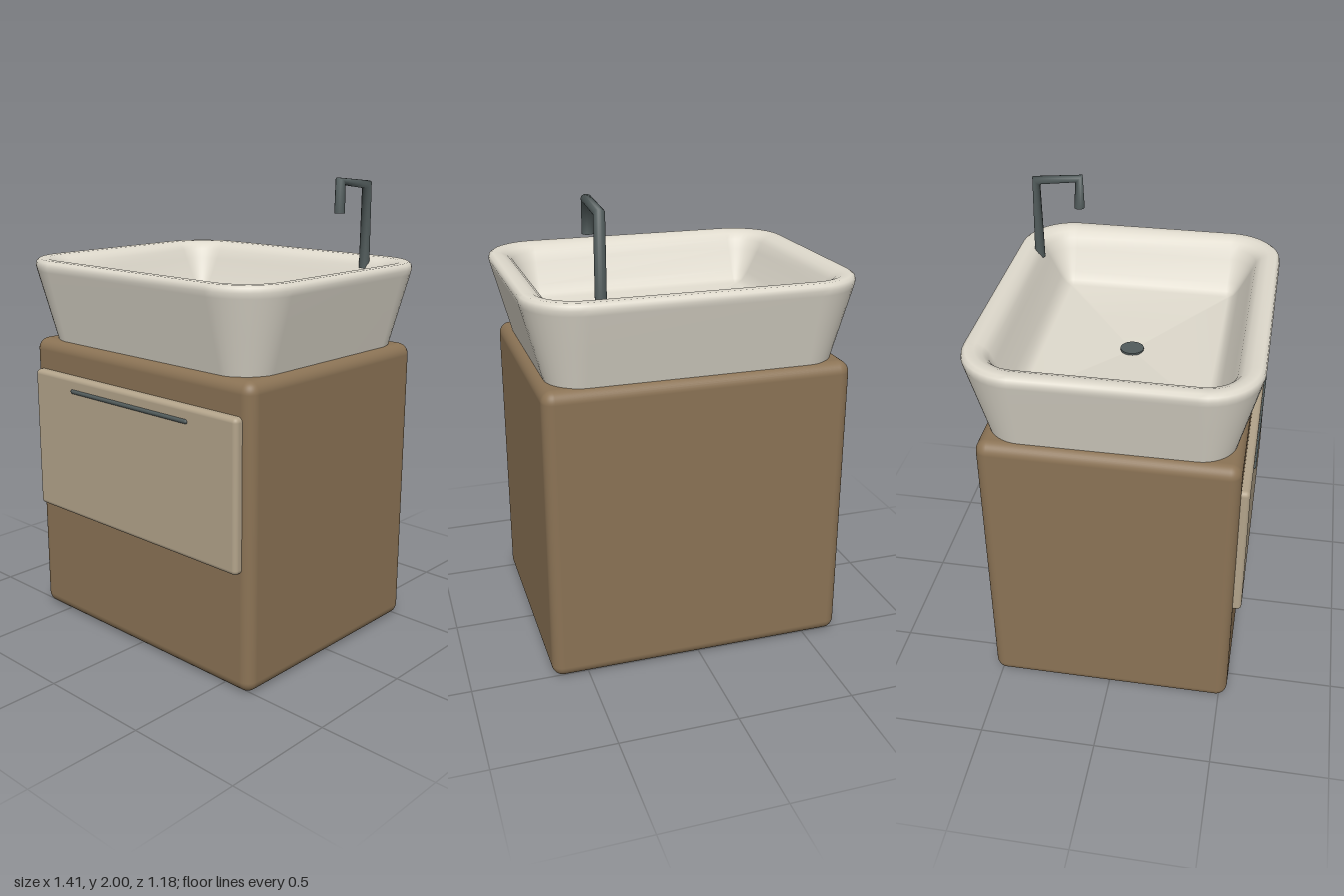
import * as THREE from 'three';
import { RoundedBoxGeometry } from 'three/addons/geometries/RoundedBoxGeometry.js';

const material = (name, color) => {
  const m = new THREE.MeshStandardMaterial({ color });
  m.name = name;
  return m;
};

// Skin a list of closed rings, each with the same number of points.
function loft(rings) {
  const n = rings[0].length;
  const index = [];
  for (let i = 0; i < rings.length - 1; i++) {
    for (let j = 0; j < n; j++) {
      const k = (j + 1) % n;
      const a = i * n + j, b = i * n + k, c = a + n, d = b + n;
      index.push(a, c, b, b, c, d);
    }
  }
  const geometry = new THREE.BufferGeometry().setFromPoints(rings.flat());
  geometry.setIndex(index);
  geometry.computeVertexNormals();
  return geometry;
}

// Rounded rectangle: fixed corner centres, offset outwards by r, then scaled.
function basinRing(r, y, scale = 1) {
  const points = [];
  const steps = 10;
  for (let q = 0; q < 4; q++) {
    const cx = q === 0 || q === 3 ? 0.47 : -0.47;
    const cz = q < 2 ? 0.357 : -0.357;
    for (let s = 0; s <= steps; s++) {
      const t = (q + s / steps) * Math.PI / 2;
      points.push(new THREE.Vector3(
        (cx + r * Math.cos(t)) * scale, y, (cz + r * Math.sin(t)) * scale));
    }
  }
  return points;
}

// Circle at (x, y, z) facing along (0, ty, tz).
function pipeRing(x, y, z, ty, tz, r) {
  const u = new THREE.Vector3(1, 0, 0);
  const v = u.clone().cross(new THREE.Vector3(0, ty, tz).normalize());
  return Array.from({ length: 20 }, (_, i) => {
    const t = i / 20 * Math.PI * 2;
    return new THREE.Vector3(x, y, z)
      .addScaledVector(u, r * Math.cos(t)).addScaledVector(v, r * Math.sin(t));
  });
}

export function createModel() {
  const wood = material('wood', 0x8b7355);
  const panel = material('drawer panel', 0xb3a48b);
  const ceramic = material('ceramic', 0xdfdacd);
  const metal = material('dark metal', 0x525c5c);

  const group = new THREE.Group();
  group.name = 'washstand';
  const add = (name, geometry, mat, x = 0, y = 0, z = 0) => {
    const mesh = new THREE.Mesh(geometry, mat);
    mesh.name = name;
    mesh.position.set(x, y, z);
    group.add(mesh);
    return mesh;
  };

  // Cabinet with one drawer and a thin bar handle
  add('cabinet', new RoundedBoxGeometry(1.31, 1.29, 1.065, 5, 0.05), wood, 0, 0.645, 0.002);
  add('drawerFront', new RoundedBoxGeometry(1.226, 0.636, 0.08, 4, 0.02), panel, 0, 0.837, 0.53);
  const handle = add('handle', new THREE.CapsuleGeometry(0.01, 0.696, 4, 12), metal, -0.003, 1.094, 0.568);
  handle.rotation.z = Math.PI / 2;

  // Basin: underside, flared wall, rounded rim, inner wall, sloping floor
  add('basin', loft([
    basinRing(0.145, 1.288, 0), basinRing(0.145, 1.288),
    basinRing(0.145, 1.288), basinRing(0.188, 1.45), basinRing(0.228, 1.6),
    basinRing(0.233, 1.622), basinRing(0.229, 1.64), basinRing(0.215, 1.65),
    basinRing(0.18, 1.649), basinRing(0.15, 1.636), basinRing(0.127, 1.613),
    basinRing(0.108, 1.57), basinRing(0.06, 1.475),
    basinRing(0.035, 1.44), basinRing(0.01, 1.425),
    basinRing(0.01, 1.408, 0.5), basinRing(0.01, 1.39, 0),
  ]), ceramic);
  add('drain', new THREE.CylinderGeometry(0.05, 0.05, 0.03, 32), metal, 0, 1.387, 0);

  // Tap: one pipe with two mitred bends, closed at the outlet
  const x = 0.407, r = 0.023;
  add('tap', loft([
    pipeRing(x, 1.6, -0.494, 1, 0, r),
    pipeRing(x, 1.964, -0.494, 1, 1, r),
    pipeRing(x, 1.984, -0.303, -1, 1, r),
    pipeRing(x, 1.85, -0.304, -1, 0, r),
    pipeRing(x, 1.85, -0.304, -1, 0, r),
    pipeRing(x, 1.85, -0.304, -1, 0, 0),
  ]), metal);

  return group;
}
